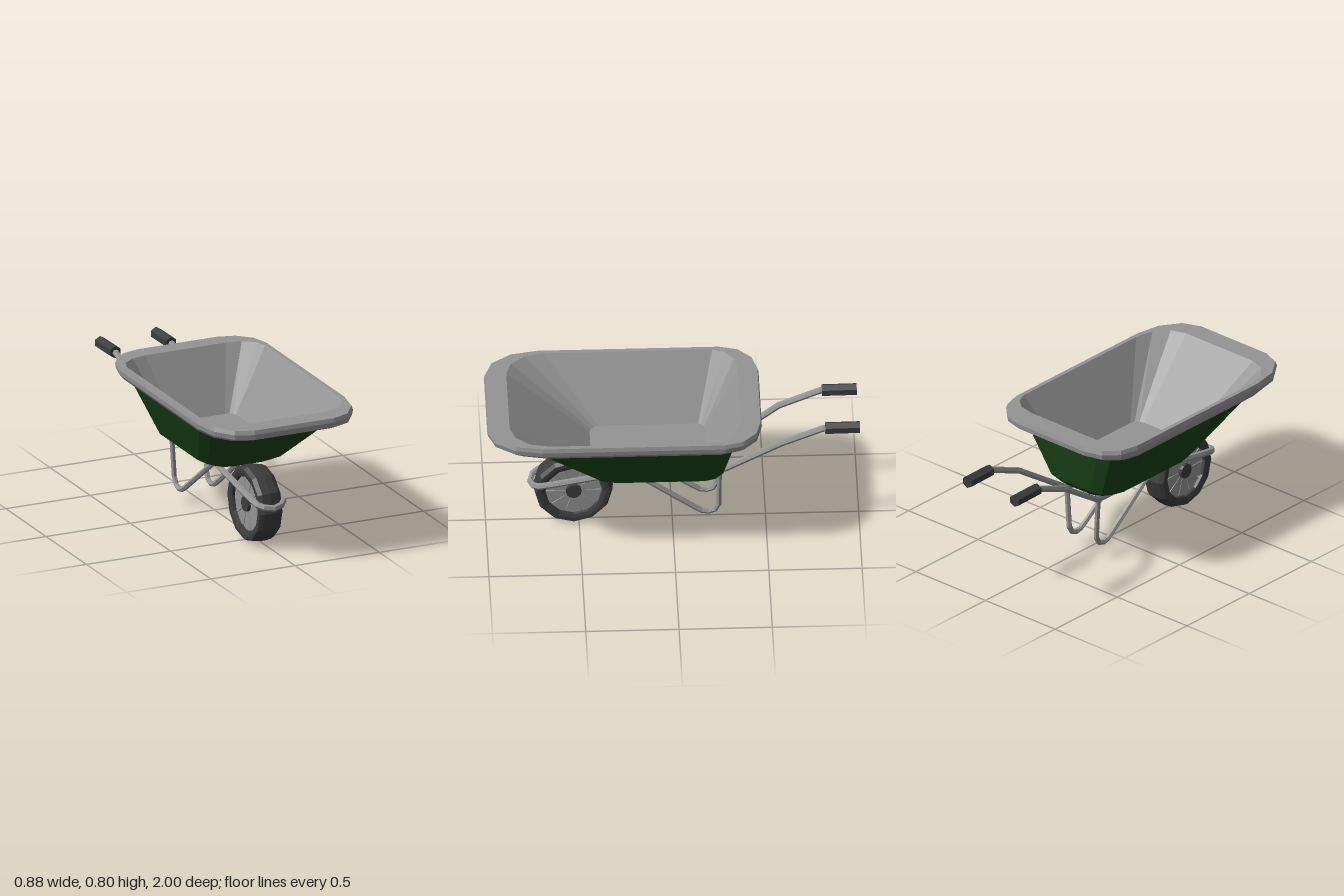
import * as THREE from 'three';

const mat = (color) => new THREE.MeshStandardMaterial({ color, flatShading: true, side: THREE.DoubleSide });
const grey = mat(0x949494);
const green = mat(0x1a441a);
const rubber = mat(0x3c3c3c);

function add(parent, name, geometry, material) {
  const mesh = new THREE.Mesh(geometry, material);
  mesh.name = name;
  parent.add(mesh);
  return mesh;
}

// Rounded rectangle in plan: [y, half width, back z, front z, corner rx, back rz, front rz]
function ring([y, w, back, front, rx, rb, rf]) {
  const points = [];
  for (let k = 0; k < 4; k++) {
    const sx = k === 0 || k === 3 ? 1 : -1;
    const isFront = k < 2;
    const cz = isFront ? front - rf : back + rb;
    for (let j = 0; j < 4; j++) {
      const a = (k + j / 3) * Math.PI / 2;
      points.push([sx * (w - rx) + rx * Math.cos(a), y, cz + (isFront ? rf : rb) * Math.sin(a)]);
    }
  }
  return points;
}

// Skin through successive rings
function loft(sections) {
  const rings = sections.map(ring);
  const n = rings[0].length;
  const index = [];
  for (let i = 0; i < rings.length - 1; i++) {
    for (let j = 0; j < n; j++) {
      const a = i * n + j, b = i * n + (j + 1) % n;
      index.push(a, a + n, b + n, a, b + n, b);
    }
  }
  const g = new THREE.BufferGeometry();
  g.setAttribute('position', new THREE.Float32BufferAttribute(rings.flat(2), 3));
  g.setIndex(index);
  const flat = g.toNonIndexed();
  flat.computeVertexNormals();
  return flat;
}

// Path with one tube section at each given point
class BentPath extends THREE.Curve {
  constructor(points) {
    super();
    this.points = points.map((p) => new THREE.Vector3(...p));
  }
  getPointAt(u) {
    return this.points[Math.round(u * (this.points.length - 1))].clone();
  }
  getTangentAt(u) {
    const p = this.points, i = Math.round(u * (p.length - 1));
    const t = new THREE.Vector3();
    if (i > 0) t.add(p[i].clone().sub(p[i - 1]).normalize());
    if (i < p.length - 1) t.add(p[i + 1].clone().sub(p[i]).normalize());
    return t.normalize();
  }
}
const pipe = (points, r) => new THREE.TubeGeometry(new BentPath(points), points.length - 1, r, 6);

function buildTray() {
  const tray = new THREE.Group();
  tray.name = 'tray';
  const shellTop = [0.762, 0.408, -0.358, 0.89, 0.17, 0.14, 0.22];
  const opening = [0.803, 0.41, -0.36, 0.88, 0.17, 0.13, 0.21];
  add(tray, 'trayShell', loft([
    [0.389, 0, 0.07, 0.07, 0, 0, 0],
    [0.389, 0.18, -0.26, 0.4, 0.09, 0.09, 0.11],
    [0.42, 0.246, -0.284, 0.462, 0.13, 0.12, 0.16],
    shellTop,
  ]), green);
  // Rolled rim with a downturned lip
  add(tray, 'trayRim', loft([
    shellTop,
    [0.762, 0.41, -0.405, 0.92, 0.18, 0.16, 0.24],
    [0.728, 0.41, -0.41, 0.925, 0.18, 0.16, 0.24],
    [0.728, 0.418, -0.425, 0.94, 0.19, 0.18, 0.26],
    [0.752, 0.436, -0.468, 0.996, 0.2, 0.2, 0.29],
    [0.78, 0.44, -0.472, 1, 0.2, 0.2, 0.29],
    [0.803, 0.434, -0.466, 0.994, 0.2, 0.2, 0.29],
    opening,
  ]), grey);
  add(tray, 'trayLining', loft([
    opening,
    [0.468, 0.198, -0.182, 0.437, 0.05, 0.035, 0.05],
    [0.468, 0, 0.12, 0.12, 0, 0, 0],
  ]), grey);
  return tray;
}

function buildWheel() {
  const wheel = new THREE.Group();
  wheel.name = 'wheel';
  const turned = (pts) =>
    new THREE.LatheGeometry(pts.map((p) => new THREE.Vector2(...p)), 12).rotateX(Math.PI / 2);
  add(wheel, 'tyre', turned([
    [0.15, -0.035], [0.155, -0.06], [0.175, -0.0675], [0.196, -0.0675], [0.209, -0.045], [0.213, 0],
    [0.209, 0.045], [0.196, 0.0675], [0.175, 0.0675], [0.155, 0.06], [0.15, 0.035],
  ]), rubber);
  add(wheel, 'wheelDisc', turned([[0, -0.035], [0.156, -0.035], [0.156, 0.035], [0, 0.035]]), grey);
  add(wheel, 'hub', new THREE.CylinderGeometry(0.042, 0.042, 0.125, 12).rotateX(Math.PI / 2), rubber);
  // Broad wedge spokes with narrow gaps, standing proud of the disc on both sides
  const outline = new THREE.Shape([[-0.009, 0.03], [0.009, 0.03], [0.045, 0.149], [-0.045, 0.149]]
    .map((p) => new THREE.Vector2(...p)));
  const spoke = new THREE.ExtrudeGeometry(outline, { depth: 0.09, bevelEnabled: false }).translate(0, 0, -0.045);
  for (let i = 0; i < 10; i++) {
    add(wheel, 'spoke', spoke, grey).rotation.z = i * Math.PI / 5;
  }
  wheel.rotation.y = Math.PI / 2;
  wheel.position.set(0, 0.216, 0.53);
  return wheel;
}

function buildFrame() {
  const frame = new THREE.Group();
  frame.name = 'frame';
  // One pipe from grip to grip, bent round the front of the wheel
  const half = [
    [0.167, 0.672, -0.97], [0.167, 0.67, -0.8], [0.165, 0.58, -0.58], [0.118, 0.385, -0.28],
    [0.107, 0.366, -0.2], [0.096, 0.357, 0.03], [0.09, 0.365, 0.22], [0.083, 0.285, 0.64],
    [0.077, 0.27, 0.715], [0.052, 0.261, 0.746],
  ];
  const mirrored = half.map(([x, y, z]) => [-x, y, z]).reverse();
  add(frame, 'mainPipe', pipe([...half, [0, 0.253, 0.76], ...mirrored], 0.018), grey);
  for (const s of [1, -1]) {
    const leg = [
      [0.09, 0.36, 0.22], [0.094, 0.115, -0.115], [0.095, 0.089, -0.155], [0.095, 0.083, -0.19],
      [0.095, 0.094, -0.225], [0.096, 0.135, -0.247], [0.111, 0.375, -0.249],
    ].map(([x, y, z]) => [s * x, y, z]);
    add(frame, 'leg', pipe(leg, 0.015), grey);
    const grip = add(frame, 'grip', new THREE.CylinderGeometry(0.034, 0.034, 0.186, 6).rotateX(Math.PI / 2), rubber);
    grip.position.set(s * 0.167, 0.672, -0.906);
  }
  return frame;
}

export function createModel() {
  const model = new THREE.Group();
  model.name = 'wheelbarrow';
  // The undercarriage sits slightly turned below the tray
  const undercarriage = new THREE.Group();
  undercarriage.name = 'undercarriage';
  undercarriage.add(buildFrame(), buildWheel());
  undercarriage.position.x = -0.022;
  undercarriage.rotation.y = 0.0157;
  model.add(buildTray(), undercarriage);
  return model;
}
